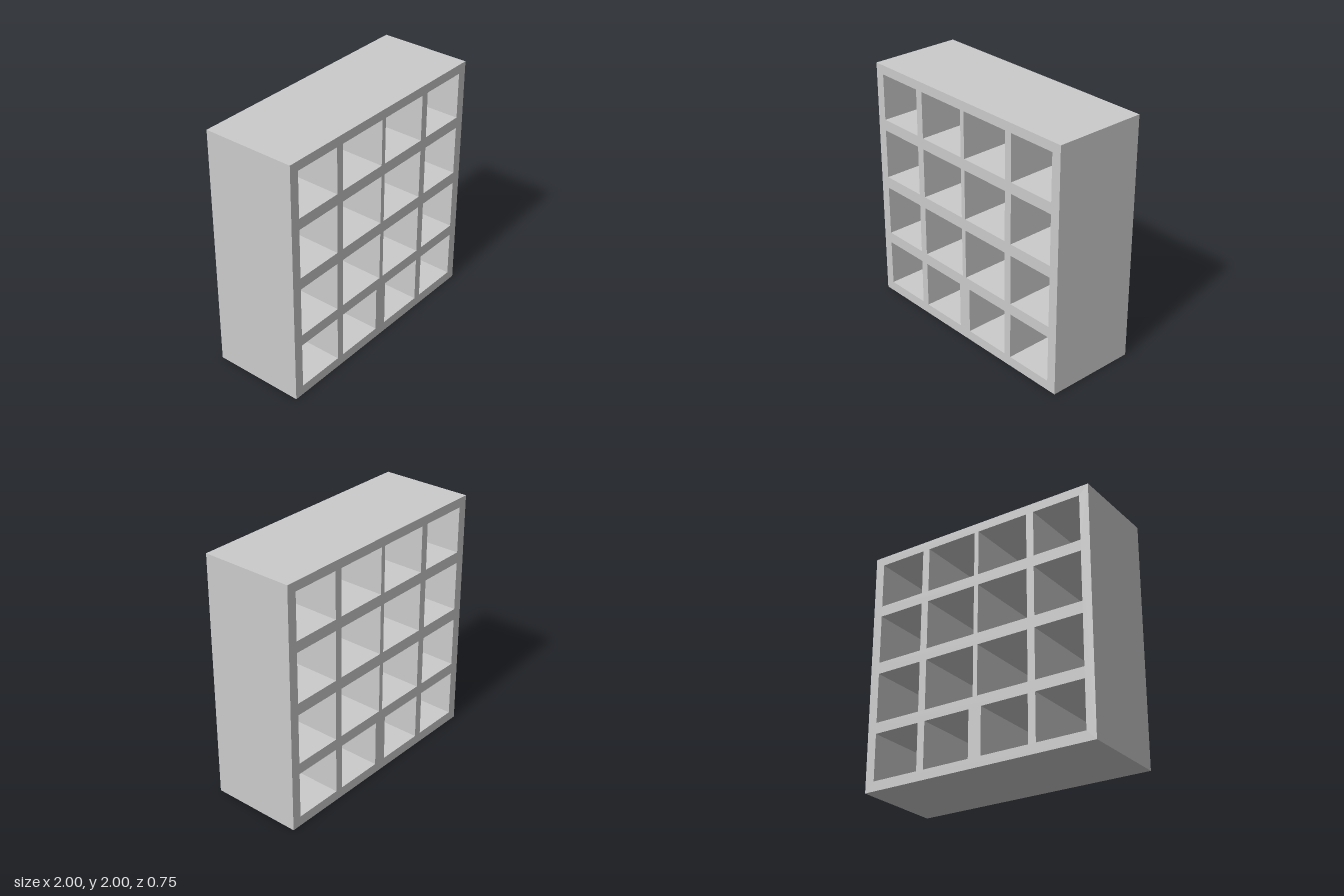
import * as THREE from 'three';

const DEPTH = 0.755;

function rectPoints(x0, x1, y0, y1) {
  return [[x0, y0], [x1, y0], [x1, y1], [x0, y1]].map(([x, y]) => new THREE.Vector2(x, y));
}

export function createModel() {
  const group = new THREE.Group();
  group.name = 'cubbyShelf';

  // Each row of compartments: bottom, top, and half thickness of the middle divider
  const rows = [
    [0.08, 0.46, 0.055],
    [0.55, 0.96, 0.019],
    [1.055, 1.46, 0.019],
    [1.55, 1.925, 0.019],
  ];

  // Outer frame with open compartments, mirrored left and right
  const shape = new THREE.Shape(rectPoints(-1, 1, 0, 2));
  for (const [y0, y1, mid] of rows) {
    for (const [x0, x1] of [[mid, 0.457], [0.52, 0.922]]) {
      shape.holes.push(new THREE.Path(rectPoints(x0, x1, y0, y1)));
      shape.holes.push(new THREE.Path(rectPoints(-x1, -x0, y0, y1)));
    }
  }

  const geometry = new THREE.ExtrudeGeometry(shape, { depth: DEPTH, bevelEnabled: false });
  geometry.translate(0, 0, -DEPTH / 2);

  const shelf = new THREE.Mesh(geometry, new THREE.MeshStandardMaterial({ color: 0xcccccc }));
  shelf.name = 'shelfFrame';
  group.add(shelf);
  return group;
}
